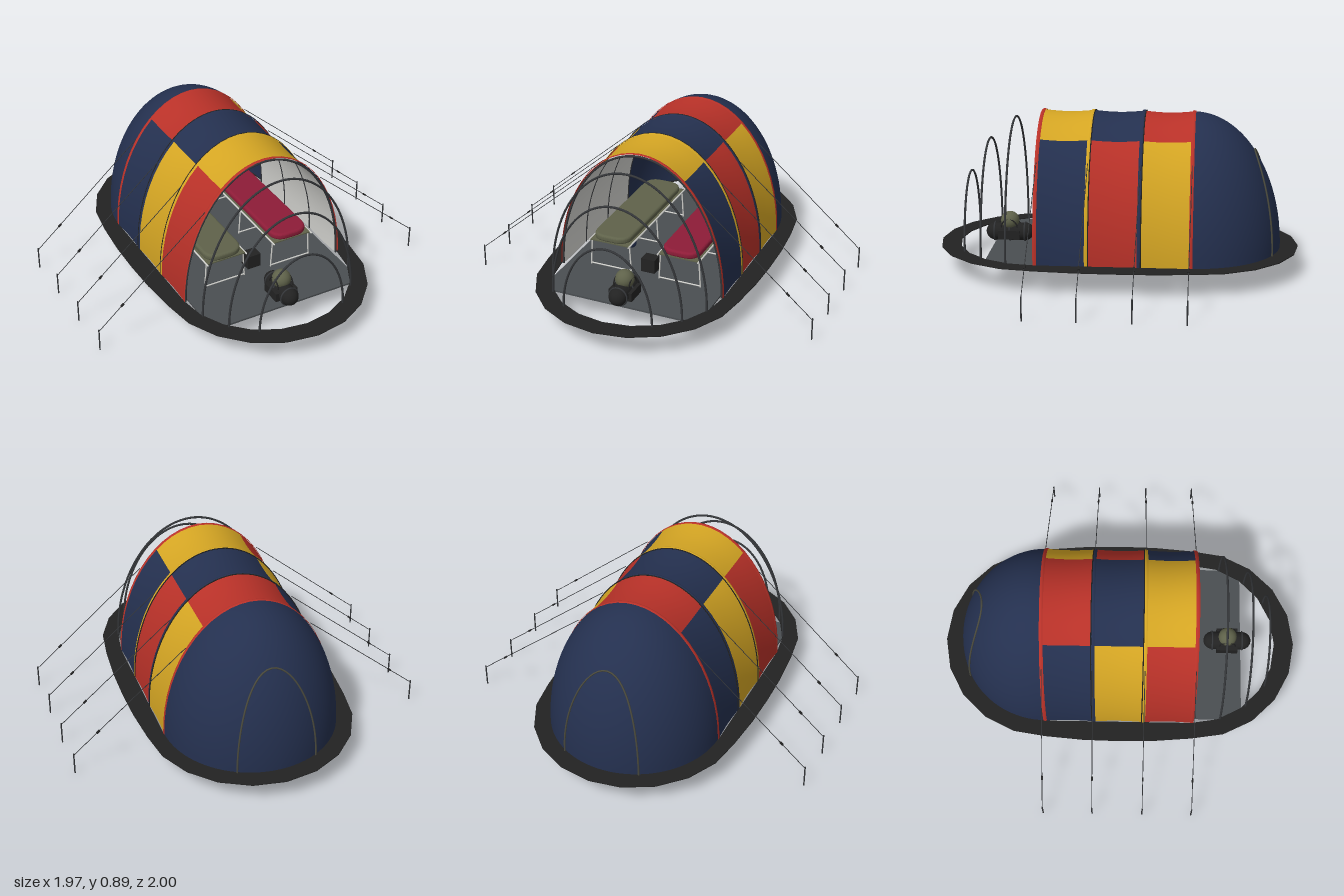
import * as THREE from 'three';

const BASE = 0.13, W = 0.48, H = 0.75, D = 0.49, RIB = 0.415;

export function createModel() {
  const root = new THREE.Group();
  root.name = 'tunnelTent';
  const mat = (name, hex, side = THREE.DoubleSide) => {
    const m = new THREE.MeshStandardMaterial({ color: hex, side });
    m.name = name;
    return m;
  };
  const navy = mat('navy cloth', 0x24304f), red = mat('red cloth', 0xb83128);
  const yellow = mat('yellow cloth', 0xd4a523), black = mat('black webbing', 0x222222);
  const floorGrey = mat('floor grey', 0x4a4e51), pole = mat('pole grey', 0x35373a);
  const olive = mat('olive', 0x5f624a), crimson = mat('crimson', 0x8e1c38);
  const light = mat('pale lining', 0xd6d6d2), seamMat = mat('seam olive', 0x4a4a3e);

  const add = (name, geo, m, pos = [0, 0, 0], parent = root) => {
    const mesh = new THREE.Mesh(geo, m);
    mesh.name = name;
    mesh.position.set(...pos);
    parent.add(mesh);
    return mesh;
  };

  // Grid surface from a rule f(u, v) -> [x, y, z]
  const surface = (f, nu, nv) => {
    const pos = [], idx = [];
    for (let j = 0; j <= nv; j++) for (let i = 0; i <= nu; i++) pos.push(...f(i / nu, j / nv));
    for (let j = 0; j < nv; j++) for (let i = 0; i < nu; i++) {
      const a = j * (nu + 1) + i, b = a + nu + 1;
      idx.push(a, a + 1, b, a + 1, b + 1, b);
    }
    const g = new THREE.BufferGeometry();
    g.setAttribute('position', new THREE.Float32BufferAttribute(pos, 3));
    g.setIndex(idx);
    g.computeVertexNormals();
    return g;
  };
  const arch = (a, s = 1) => [W * s * Math.cos(a), BASE + H * s * Math.sin(a)];

  // Strip of the tunnel between two angles, sagging slightly between ribs
  const strip = (a0, a1, z0, z1, scale, sag) => surface((u, v) => [
    ...arch(a0 + (a1 - a0) * u, scale - sag * Math.sin(Math.PI * v)), z0 + (z1 - z0) * v,
  ], 28, 8);

  const tube = (points, r, closed = false, seg = 48, sides = 6) => new THREE.TubeGeometry(
    new THREE.CatmullRomCurve3(points.map((p) => new THREE.Vector3(...p)), closed), seg, r, sides, closed);
  const rod = (a, b, r) => new THREE.TubeGeometry(
    new THREE.LineCurve3(new THREE.Vector3(...a), new THREE.Vector3(...b)), 1, r, 6);
  const hoop = (s, z, r) => tube(
    Array.from({ length: 25 }, (_, i) => [...arch(Math.PI * i / 24, s), z]), r, false, 64);

  // Three bays: colours listed as +x side, roof, -x side
  const split = Math.acos(0.25 / W);
  const ribZ = [RIB, 0.14, -0.14, -RIB];
  const bays = [[navy, yellow, red], [red, navy, yellow], [yellow, red, navy]];
  const cuts = [0, split, Math.PI - split, Math.PI];
  bays.forEach((cols, b) => {
    cols.forEach((c, i) => add(['leftPanel', 'roofPanel', 'rightPanel'][i],
      strip(cuts[i], cuts[i + 1], ribZ[b], ribZ[b + 1], 1, 0.012), c));
    add('innerLining', strip(0, Math.PI, ribZ[b], ribZ[b + 1], 0.982, 0.01), light);
  });

  // Rib sleeves, poles, guy lines and stakes
  [red, yellow, navy, red].forEach((c, i) => {
    const z = ribZ[i];
    add('ribSleeve', strip(0, Math.PI, z - 0.01, z + 0.01, 1.004, -0.004), c);
    add('ribPole', hoop(0.985, z, 0.006), pole);
    if (i === 1 || i === 2) add('ribSeam', hoop(1.004, z - 0.01, 0.003), black);
    for (const s of [1, -1]) {
      add('guyLine', rod([s * 0.35, 0.665, z], [s * 0.98, 0.12, z], 0.002), pole);
      add('lineTensioner', new THREE.BoxGeometry(0.022, 0.008, 0.01), black, [s * 0.84, 0.241, z])
        .rotation.z = -s * 0.71;
      add('stake', new THREE.CylinderGeometry(0.004, 0.004, 0.13, 8), pole, [s * 0.98, 0.065, z]);
    }
  });

  // Rounded rear of the tent
  add('rearDome', surface((u, v) => {
    const t = v * Math.PI / 2;
    return [...arch(Math.PI * u, Math.cos(t)), -RIB - (D - 0.005) * Math.sin(t)];
  }, 48, 24), navy);

  // Arched door seam lying on the rear dome
  const onDome = (x, y) => [x, y, -RIB - D * 1.003
    * Math.sqrt(Math.max(0, 1 - (x / W) ** 2 - ((y - BASE) / H) ** 2))];
  add('rearDoorSeam', tube(Array.from({ length: 25 }, (_, i) => {
    const a = Math.PI * i / 24;
    return onDome(0.22 * Math.cos(a), BASE + 0.55 * Math.sin(a));
  }), 0.005), seamMat);

  // Bare hoops of the open porch
  for (const z of [0.575, 0.72, 0.83]) {
    add('porchHoop', hoop(Math.sqrt(1 - ((z - RIB) / D) ** 2), z, 0.006), pole);
  }

  // Ground skirt: flat ring with long sides and half-oval ends
  const outline = (w, bulge, d) => {
    const pts = [];
    for (const s of [1, -1]) {
      for (let i = 0; i <= 10; i++) {
        const a = Math.PI * i / 10;
        pts.push(new THREE.Vector2(s * w * Math.cos(a), s * (0.41 + d * Math.sin(a))));
      }
      pts.push(new THREE.Vector2(-s * (w + bulge * 0.8), s * 0.2), new THREE.Vector2(-s * (w + bulge), 0),
        new THREE.Vector2(-s * (w + bulge * 0.8), -s * 0.2));
    }
    return pts;
  };
  const skirt = new THREE.Shape(outline(0.572, 0.022, 0.59));
  skirt.holes.push(new THREE.Path(outline(0.482, 0, 0.48)));
  add('groundSkirt', new THREE.ExtrudeGeometry(skirt, { depth: 0.005, bevelEnabled: false })
    .rotateX(-Math.PI / 2), black, [0, 0.13, 0]);
  add('groundSheet', new THREE.BoxGeometry(0.91, 0.01, 1.39), floorGrey, [0, 0.124, 0]);

  // Camp beds with sleeping bags
  const bagShape = new THREE.Shape();
  const bw = 0.095, bl = 0.37, br = 0.07;
  bagShape.moveTo(-bw + br, -bl);
  bagShape.lineTo(bw - br, -bl).quadraticCurveTo(bw, -bl, bw, -bl + br);
  bagShape.lineTo(bw, bl - br).quadraticCurveTo(bw, bl, bw - br, bl);
  bagShape.lineTo(-bw + br, bl).quadraticCurveTo(-bw, bl, -bw, bl - br);
  bagShape.lineTo(-bw, -bl + br).quadraticCurveTo(-bw, -bl, -bw + br, -bl);
  const bagGeo = new THREE.ExtrudeGeometry(bagShape,
    { depth: 0.01, bevelThickness: 0.014, bevelSize: 0.014, bevelSegments: 4 }).rotateX(-Math.PI / 2);
  for (const [s, m] of [[1, crimson], [-1, olive]]) {
    const bed = new THREE.Group();
    bed.name = 'campBed';
    bed.position.x = s * 0.205;
    root.add(bed);
    add('bedSling', new THREE.BoxGeometry(0.23, 0.006, 0.76), olive, [0, 0.295, 0], bed);
    add('sleepingBag', bagGeo, m, [0, 0.312, 0], bed);
    for (const t of [1, -1]) {
      add('bedRail', rod([t * 0.118, 0.295, -0.39], [t * 0.118, 0.295, 0.39], 0.005), light, [0, 0, 0], bed);
    }
    for (const z of [-0.36, 0, 0.36]) {
      for (const t of [1, -1]) {
        add('bedLeg', rod([t * 0.112, 0.295, z], [t * 0.122, 0.132, z], 0.004), light, [0, 0, 0], bed);
      }
      add('bedCrossbar', rod([-0.12, 0.14, z], [0.12, 0.14, z], 0.004), light, [0, 0, 0], bed);
    }
    add('stuffSack', new THREE.SphereGeometry(0.03, 16, 12), m === crimson ? olive : navy, [0, 0.16, 0.1], bed);
  }

  // Duffel with straps, handles and an olive bundle on top
  add('duffelBag', new THREE.CapsuleGeometry(0.05, 0.17, 8, 20).rotateX(Math.PI / 2), black, [0, 0.182, 0.615]);
  for (const dz of [-0.085, 0, 0.085]) {
    add('duffelStrap', new THREE.TorusGeometry(0.051, 0.005, 6, 24), pole, [0, 0.182, 0.615 + dz]);
  }
  for (const s of [1, -1]) {
    add('duffelHandle', new THREE.TorusGeometry(0.045, 0.004, 6, 16, Math.PI), black, [s * 0.045, 0.215, 0.615])
      .rotation.y = Math.PI / 2;
    add('duffelPocket', new THREE.BoxGeometry(0.025, 0.05, 0.12), black, [s * 0.054, 0.175, 0.615]);
  }
  add('oliveBundle', new THREE.SphereGeometry(0.052, 20, 14), olive, [0, 0.246, 0.615]);

  // Gear on the floor between the beds and at the rear
  add('gearBox', new THREE.BoxGeometry(0.08, 0.08, 0.07), black, [0, 0.17, 0.29]);
  add('rearPack', new THREE.SphereGeometry(0.06, 20, 14), olive, [0, 0.22, -0.64]);
  add('rearPackBase', new THREE.CylinderGeometry(0.055, 0.055, 0.06, 16), black, [0, 0.16, -0.64]);

  // Lantern hanging from the roof
  add('lantern', new THREE.CylinderGeometry(0.025, 0.025, 0.06, 20), light, [0, 0.745, 0]);
  add('lanternCap', new THREE.CylinderGeometry(0.022, 0.026, 0.01, 20), light, [0, 0.778, 0]);
  add('lanternCord', rod([0, 0.78, 0], [0, 0.855, 0], 0.002), pole);

  return root;
}
